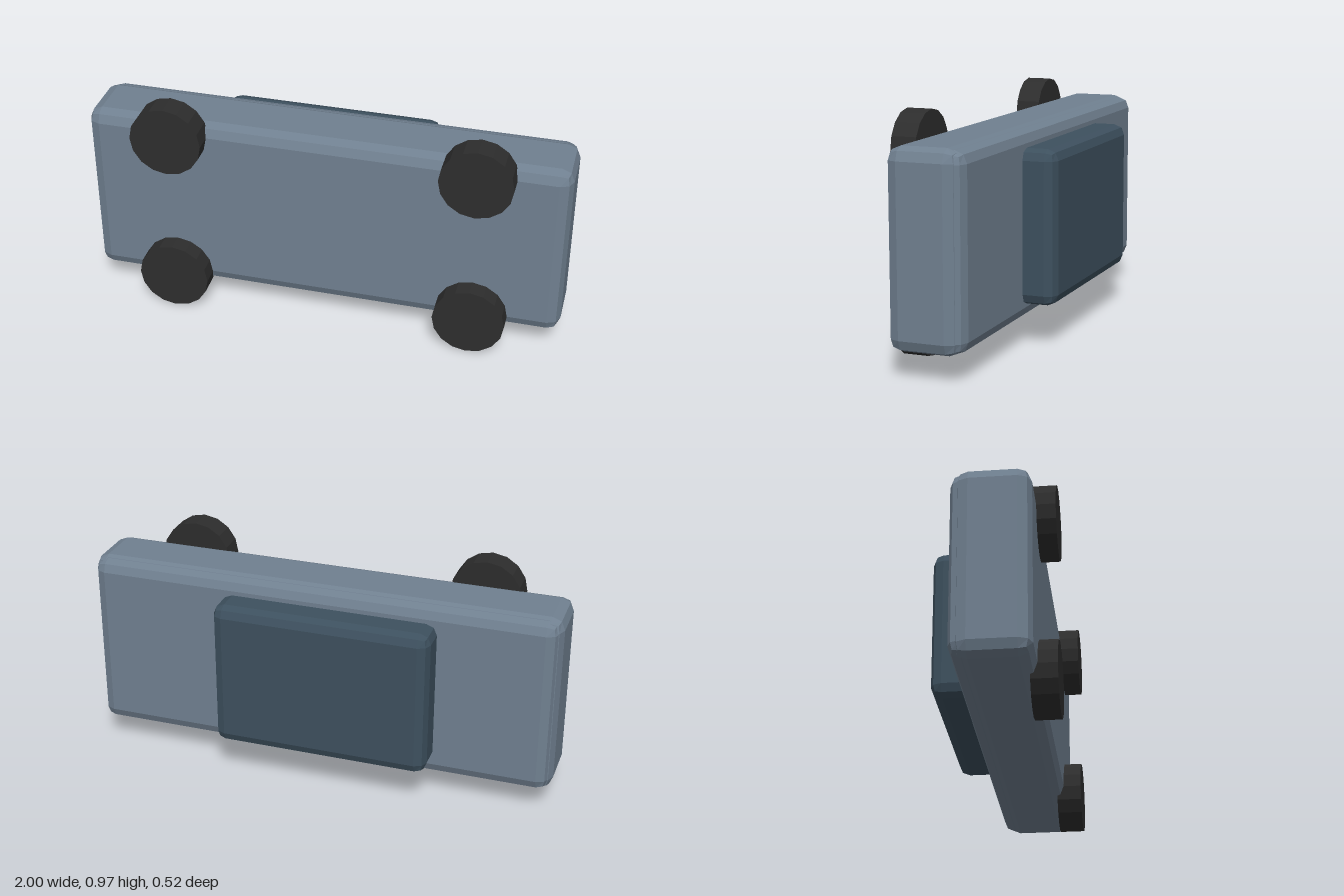
import * as THREE from 'three';
import { RoundedBoxGeometry } from 'three/addons/geometries/RoundedBoxGeometry.js';

const paint = new THREE.MeshStandardMaterial({ name: 'slatePaint', color: 0x708090, flatShading: true });
const glass = new THREE.MeshStandardMaterial({ name: 'darkCabin', color: 0x3d505e, flatShading: true });
const rubber = new THREE.MeshStandardMaterial({ name: 'tyreRubber', color: 0x2d2d2d, flatShading: true });

// bevelled box given by its limits on each axis
function bevelBox(name, [x0, x1], [y0, y1], [z0, z1], bevel, material) {
  const geometry = new RoundedBoxGeometry(x1 - x0, y1 - y0, z1 - z0, 1, bevel);
  const mesh = new THREE.Mesh(geometry, material);
  mesh.position.set((x0 + x1) / 2, (y0 + y1) / 2, (z0 + z1) / 2);
  mesh.name = name;
  return mesh;
}

export function createModel() {
  const car = new THREE.Group();
  car.name = 'car';

  // lower body with a slightly inset upper deck, and the cabin behind it
  car.add(
    bevelBox('body', [-1, 1], [0.102, 0.872], [-0.103, 0.185], 0.052, paint),
    bevelBox('upperDeck', [-0.988, 0.988], [0.11, 0.864], [-0.123, 0.12], 0.048, paint),
    bevelBox('cabin', [-0.507, 0.407], [0.172, 0.798], [-0.257, 0.06], 0.045, glass),
  );

  // four wheels, axles along z
  const wheelGeometry = new THREE.CylinderGeometry(0.15, 0.15, 0.103, 16).rotateX(Math.PI / 2);
  for (const x of [-0.635, 0.635]) {
    for (const y of [0.152, 0.82]) {
      const wheel = new THREE.Mesh(wheelGeometry, rubber);
      wheel.position.set(x, y, 0.208);
      wheel.name = 'wheel';
      car.add(wheel);
    }
  }
  return car;
}
